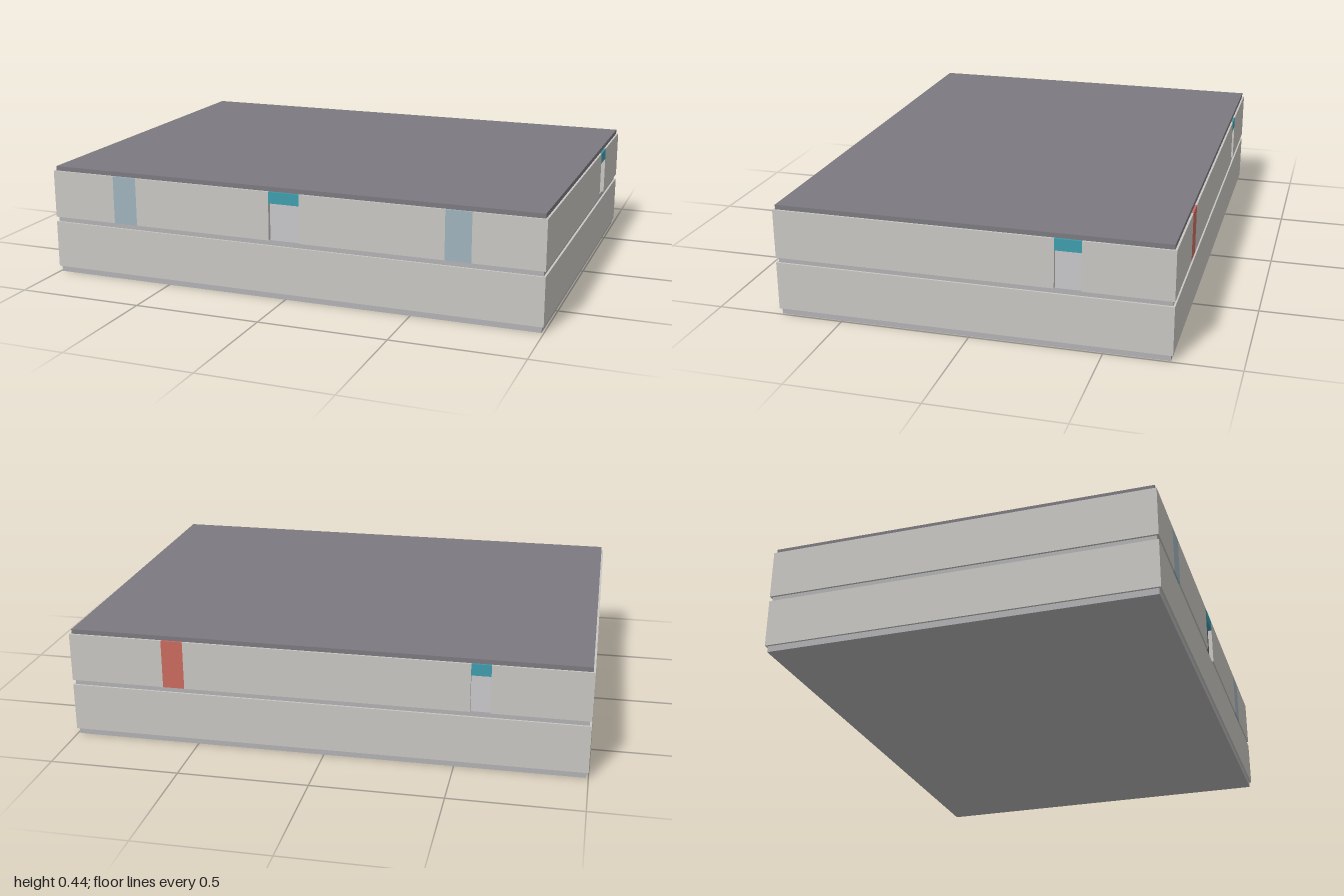
import * as THREE from 'three';

const X = 0.992, Z = 0.744, T = 0.016; // slab half sizes, wall thickness
const mat = (color) => new THREE.MeshStandardMaterial({ color });

export function createModel() {
  const model = new THREE.Group();
  const wallMat = mat(0xc8c7c2), slabMat = mat(0xb2b1b4), roofMat = mat(0x7c7a80);
  const lintelMat = mat(0x3f9dac), windowMat = mat(0xa0b3bd), redMat = mat(0xcb6a5e), benchMat = mat(0x888884);

  // box given by its lower and upper corners
  function box(name, parent, material, [x0, y0, z0], [x1, y1, z1]) {
    const mesh = new THREE.Mesh(new THREE.BoxGeometry(x1 - x0, y1 - y0, z1 - z0), material);
    mesh.position.set((x0 + x1) / 2, (y0 + y1) / 2, (z0 + z1) / 2);
    mesh.name = name;
    parent.add(mesh);
  }

  // wall along x or z, split by full-height panels and doorways with lintels
  function wall(name, axis, at, half, y0, y1, openings = []) {
    const group = new THREE.Group();
    group.name = name;
    const part = (label, material, a, b, lo, hi) => (axis === 'x'
      ? box(label, group, material, [a, lo, at - T / 2], [b, hi, at + T / 2])
      : box(label, group, material, [at - T / 2, lo, a], [at + T / 2, hi, b]));
    let start = -half;
    for (const { from, to, panel } of openings) {
      part('wallSection', wallMat, start, from, y0, y1);
      if (panel) part('windowPanel', panel, from, to, y0, y1);
      else part('doorLintel', lintelMat, from, to, 0.378, y1);
      start = to;
    }
    part('wallSection', wallMat, start, half, y0, y1);
    model.add(group);
  }

  function storey(name, y0, y1, front, back, right) {
    wall(name + 'FrontWall', 'x', Z, X + T / 2, y0, y1, front);
    wall(name + 'BackWall', 'x', -Z, X + T / 2, y0, y1, back);
    wall(name + 'EastWall', 'z', X, Z - T / 2, y0, y1, right);
    wall(name + 'WestWall', 'z', -X, Z - T / 2, y0, y1);
  }

  // floors and roof
  box('groundSlab', model, slabMat, [-X, 0, -Z], [X, 0.024, Z]);
  box('upperFloorSlab', model, slabMat, [-X, 0.212, -Z], [X, 0.232, Z]);
  box('roofSlab', model, roofMat, [-X, 0.423, -Z], [X, 0.441, Z]);

  // closed lower storey, upper storey with doors and panels
  storey('lower', 0.024, 0.212);
  storey('upper', 0.232, 0.423,
    [{ from: -0.73, to: -0.63, panel: windowMat }, { from: -0.062, to: 0.062 }, { from: 0.63, to: 0.73, panel: windowMat }],
    [{ from: -0.63, to: -0.555 }, { from: 0.545, to: 0.63, panel: redMat }],
    [{ from: -0.42, to: -0.32 }]);

  // low bench facing the front door
  box('bench', model, benchMat, [-0.14, 0.232, -0.15], [0.14, 0.285, 0.05]);

  return model;
}
